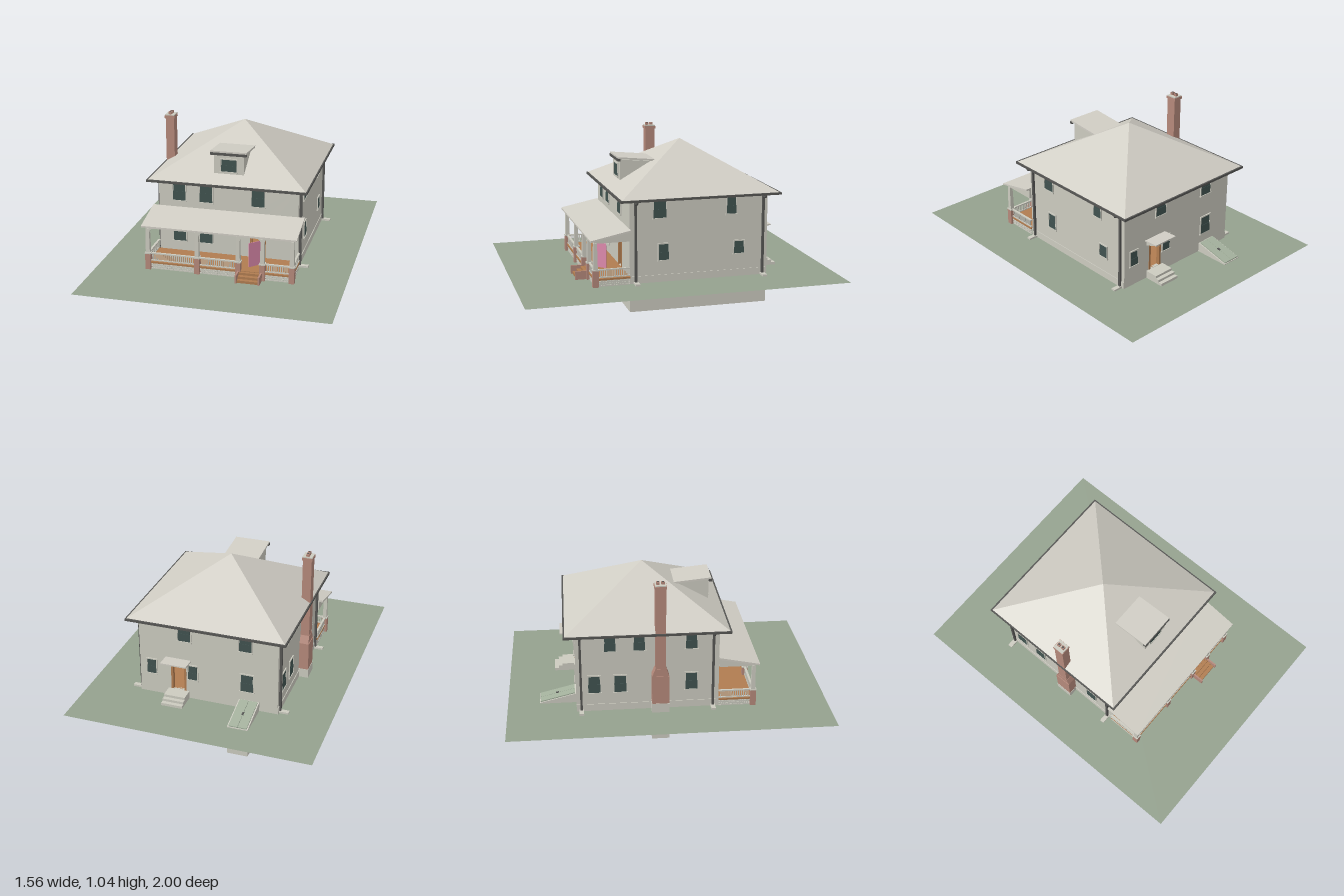
import * as THREE from 'three';

const mat = (name, color) => {
  const m = new THREE.MeshStandardMaterial({ color, side: THREE.DoubleSide });
  m.name = name;
  return m;
};

export function createModel() {
  const M = {
    wall: mat('warm grey siding', 0xcbcabf),
    roof: mat('pale roofing', 0xd0cdc4),
    grass: mat('grass', 0x94a18e),
    brick: mat('brick', 0xb5897b),
    glass: mat('dark glass', 0x40524f),
    wood: mat('deck wood', 0xb07c50),
    dark: mat('dark metal', 0x565654),
    pink: mat('pink', 0xdd8aac),
    earth: mat('cellar earth', 0x816454),
    hatch: mat('hatch green', 0xa3b09c),
  };
  const house = new THREE.Group();
  house.name = 'house';

  const add = (name, geo, m, parent = house) => {
    const mesh = new THREE.Mesh(geo, m);
    mesh.name = name;
    parent.add(mesh);
    return mesh;
  };
  // box given by its limits on each axis
  const box = (name, m, x0, x1, y0, y1, z0, z1, parent = house) => {
    const b = add(name, new THREE.BoxGeometry(x1 - x0, y1 - y0, z1 - z0), m, parent);
    b.position.set((x0 + x1) / 2, (y0 + y1) / 2, (z0 + z1) / 2);
    return b;
  };
  // side profile of [z, y] points, extruded along x
  const profile = (name, m, pts, x0, x1) => {
    const s = new THREE.Shape(pts.map(([z, y]) => new THREE.Vector2(-z, y)));
    const g = new THREE.ExtrudeGeometry(s, { depth: x1 - x0, bevelEnabled: false });
    g.rotateY(Math.PI / 2);
    g.translate(x0, 0, 0);
    return add(name, g, m);
  };

  const GY = 0.185, FL = 0.235, W = 0.447, ZF = 0.312, ZB = -0.572;

  // ground and cellar
  const ground = add('ground', new THREE.PlaneGeometry(1.56, 2), M.grass);
  ground.rotation.x = -Math.PI / 2;
  ground.position.y = GY;
  box('cellarWalls', M.wall, -0.444, 0.444, 0.004, 0.22, -0.57, 0.31);
  box('cellarFloor', M.earth, -0.43, 0.43, 0, 0.006, -0.556, 0.296);
  box('hatchWell', M.wall, -0.33, -0.2, 0, GY, -0.8, -0.57);

  // outer walls, front and back pierced by a doorway
  for (const [name, z] of [['frontWall', ZF - 0.02], ['backWall', ZB]]) {
    const s = new THREE.Shape();
    s.moveTo(-W, GY).lineTo(W, GY).lineTo(W, 0.71).lineTo(-W, 0.71).closePath();
    const h = new THREE.Path();
    h.moveTo(0.143, FL).lineTo(0.143, 0.425).lineTo(0.243, 0.425).lineTo(0.243, FL).closePath();
    s.holes.push(h);
    const g = new THREE.ExtrudeGeometry(s, { depth: 0.02, bevelEnabled: false });
    add(name, g, M.wall).position.z = z;
    // wooden door lining
    for (const x of [0.143, 0.229]) box('doorJamb', M.wood, x, x + 0.014, FL, 0.42, z - 0.002, z + 0.022);
    box('doorHead', M.wood, 0.143, 0.243, 0.418, 0.426, z - 0.002, z + 0.022);
  }
  for (const s of [-1, 1]) {
    const x = s * (W - 0.01);
    box('sideWall', M.wall, x - 0.01, x + 0.01, GY, 0.71, ZB + 0.02, ZF - 0.02);
    box('foundationBand', M.wall, s * W - 0.004, s * W + 0.004, GY, 0.23, ZB, ZF);
  }
  box('houseFloor', M.wood, -0.43, 0.43, 0.222, FL, ZB + 0.01, ZF - 0.01);

  // windows: sashes, sill and side trims, placed on a named side
  const sides = {
    front: (u) => [u, ZF, 0], back: (u) => [u, ZB, Math.PI],
    right: (u) => [W, u, Math.PI / 2], left: (u) => [-W, u, -Math.PI / 2],
  };
  const addWindow = (side, u, y0, y1, w, at = sides[side](u)) => {
    const g = new THREE.Group();
    g.name = side + 'Window';
    g.position.set(at[0], 0, at[1]);
    g.rotation.y = at[2];
    const h = w / 2, ym = (y0 + y1) / 2;
    box('upperSash', M.glass, -h + 0.003, h - 0.003, ym, y1, 0, 0.004, g);
    box('lowerSash', M.glass, -h, h, y0, ym, 0, 0.006, g);
    box('sill', M.wall, -h - 0.008, h + 0.008, y0 - 0.009, y0, 0, 0.01, g);
    box('head', M.wall, -h - 0.006, h + 0.006, y1, y1 + 0.008, 0, 0.007, g);
    for (const s of [-1, 1]) box('trim', M.wall, s * (h + 0.003) - 0.003, s * (h + 0.003) + 0.003, y0, y1, 0, 0.007, g);
    house.add(g);
  };
  for (const u of [-0.314, -0.14, 0.193]) addWindow('front', u, 0.575, 0.69, 0.082);
  for (const u of [-0.314, -0.14]) addWindow('front', u, 0.302, 0.428, 0.082);
  addWindow('right', 0.123, 0.588, 0.69, 0.08);
  addWindow('right', -0.336, 0.588, 0.69, 0.062);
  addWindow('right', 0.098, 0.323, 0.422, 0.064);
  addWindow('right', -0.388, 0.333, 0.41, 0.066);
  for (const u of [-0.36, -0.18, 0.14]) addWindow('left', u, 0.588, 0.69, 0.07);
  for (const u of [-0.46, -0.3, 0.14]) addWindow('left', u, 0.31, 0.42, 0.075);
  for (const u of [0.15, -0.24]) addWindow('back', u, 0.588, 0.69, 0.08);
  for (const u of [0.1, 0.37]) addWindow('back', u, 0.325, 0.42, 0.06);
  addWindow('back', -0.25, 0.31, 0.425, 0.08);

  // hipped roof with gutters
  const rg = new THREE.ConeGeometry(0.505 * Math.SQRT2, 0.288, 4);
  rg.rotateY(Math.PI / 4);
  M.roof.flatShading = true;
  add('hipRoof', rg, M.roof).position.set(0, 0.856, -0.131);
  for (const s of [-1, 1]) {
    box('gutter', M.dark, -0.508, 0.508, 0.701, 0.715, -0.131 + s * 0.503 - 0.007, -0.131 + s * 0.503 + 0.007);
    box('gutter', M.dark, s * 0.501 - 0.007, s * 0.501 + 0.007, 0.701, 0.715, -0.638, 0.376);
    // downspouts with elbows and splash blocks
    for (const z of [0.275, -0.542]) {
      box('downspout', M.dark, s * 0.455 - 0.007, s * 0.455 + 0.007, 0.195, 0.69, z - 0.007, z + 0.007);
      const pts = [[0.455, 0.672], [0.46, 0.682], [0.495, 0.69], [0.498, 0.705]].map(([x, y]) => new THREE.Vector3(s * x, y, z));
      add('downspoutElbow', new THREE.TubeGeometry(new THREE.CatmullRomCurve3(pts), 8, 0.007, 6), M.dark);
      box('splashBlock', M.wall, s * 0.48 - 0.03, s * 0.48 + 0.03, GY, 0.197, z - 0.014, z + 0.014);
    }
  }

  // dormer
  profile('dormerBody', M.wall, [[0.285, 0.76], [0.285, 0.893], [0.06, 0.872], [0.06, 0.76]], -0.095, 0.095);
  profile('dormerRoof', M.roof, [[0.3, 0.9], [0.3, 0.912], [0.05, 0.888], [0.05, 0.876]], -0.115, 0.115);
  box('dormerGutter', M.dark, -0.116, 0.116, 0.886, 0.902, 0.285, 0.304);
  addWindow('dormer', 0, 0.78, 0.856, 0.1, [0, 0.285, 0]);

  // chimney: stone base, wide lower part, shoulders, stack, cap and flues
  box('chimneyFooting', M.wall, -0.51, -0.444, 0, 0.245, -0.11, 0);
  box('chimneyLower', M.brick, -0.508, -0.444, 0.245, 0.43, -0.108, -0.002);
  const shoulder = new THREE.Shape();
  shoulder.moveTo(-0.108, 0.43).lineTo(-0.002, 0.43).lineTo(-0.02, 0.48).lineTo(-0.088, 0.48).closePath();
  const sg = new THREE.ExtrudeGeometry(shoulder, { depth: 0.058, bevelEnabled: false });
  sg.rotateY(-Math.PI / 2);
  add('chimneyShoulder', sg, M.brick).position.x = -0.446;
  box('chimneyStack', M.brick, -0.502, -0.446, 0.48, 1.012, -0.086, -0.022);
  box('chimneyCap', M.brick, -0.507, -0.442, 1.003, 1.02, -0.091, -0.017);
  box('chimneyTop', M.wall, -0.505, -0.444, 1.02, 1.026, -0.088, -0.02);
  for (const z of [-0.069, -0.039]) {
    box('flue', M.brick, -0.484, -0.464, 1.02, 1.042, z - 0.01, z + 0.01);
    box('flueOpening', M.dark, -0.48, -0.468, 1.04, 1.043, z - 0.006, z + 0.006);
  }

  // porch deck and roof
  box('porchDeck', M.wood, -0.46, 0.46, 0.224, FL, ZF, 0.535);
  profile('porchRoof', M.roof, [[0.31, 0.53], [0.56, 0.479], [0.56, 0.469], [0.31, 0.518]], -0.488, 0.486);
  profile('porchGable', M.wall, [[0.312, 0.52], [0.535, 0.474], [0.535, 0.456], [0.312, 0.456]], -0.462, 0.462);

  // brick piers and posts
  const piers = [-0.455, -0.14, 0.12, 0.272, 0.455], ZP = 0.527;
  for (const x of piers) {
    box('brickPier', M.brick, x - 0.017, x + 0.017, GY, 0.29, ZP - 0.018, ZP + 0.018);
    box('pierCap', M.wall, x - 0.019, x + 0.019, 0.288, 0.296, ZP - 0.02, ZP + 0.02);
    const post = add('porchPost', new THREE.CylinderGeometry(0.015, 0.019, 0.162, 4).rotateY(Math.PI / 4), M.wall);
    post.material.flatShading = true;
    post.position.set(x, 0.376, ZP);
  }
  // curved brackets beside the posts, below the beam
  const corner = new THREE.Shape();
  corner.moveTo(0, 0).lineTo(0.026, 0).quadraticCurveTo(0.003, -0.003, 0, -0.035).closePath();
  const cg = new THREE.ExtrudeGeometry(corner, { depth: 0.016, bevelEnabled: false, curveSegments: 5 });
  piers.forEach((x, i) => [-1, 1].forEach((s) => {
    if ((i === 0 && s < 0) || (i === 4 && s > 0)) return;
    const b = add('postBracket', cg, M.wall);
    b.position.set(x + s * 0.01, 0.457, ZP - 0.008);
    b.scale.x = s;
  }));

  // railing over a lattice skirt, running along local x
  const railing = (len, x, z, turn) => {
    const g = new THREE.Group();
    g.name = 'railing';
    g.position.set(x, 0, z);
    g.rotation.y = turn;
    box('topRail', M.wall, 0, len, 0.286, 0.294, -0.007, 0.007, g);
    box('bottomRail', M.wall, 0, len, 0.24, 0.246, -0.005, 0.005, g);
    const n = Math.round(len / 0.013);
    for (let i = 1; i < n; i++) {
      const u = (i * len) / n;
      box('baluster', M.wall, u - 0.0028, u + 0.0028, 0.246, 0.286, -0.003, 0.003, g);
      box('latticeSlat', M.wall, u - 0.004, u + 0.004, GY, 0.224, -0.002, 0.002, g);
    }
    for (const y of [0.186, 0.198, 0.21, 0.22]) box('latticeBar', M.wall, 0, len, y, y + 0.007, -0.003, 0.003, g);
    house.add(g);
  };
  for (const [a, b] of [[-0.455, -0.14], [-0.14, 0.12], [0.272, 0.455]]) railing(b - a - 0.034, a + 0.017, ZP, 0);
  for (const x of [-0.455, 0.455]) railing(0.197, x, ZP - 0.018, Math.PI / 2);

  // front steps between brick cheeks
  for (let i = 0; i < 3; i++) box('frontStep', M.wood, 0.128, 0.262, GY, 0.201 + i * 0.015, 0.53, 0.605 - i * 0.025);
  for (const x of [0.12, 0.262]) box('stepCheek', M.brick, x, x + 0.01, GY, 0.238, 0.54, 0.615);

  // upright panel standing on the porch
  const panel = add('porchPanel', new THREE.BoxGeometry(0.085, 0.158, 0.004), M.pink);
  panel.position.set(0.203, 0.314, 0.44);
  panel.rotation.y = Math.PI / 4;

  // back steps and canopy
  for (let i = 0; i < 3; i++) box('backStep', M.wall, 0.125, 0.262, GY, 0.202 + i * 0.016, -0.705 + i * 0.025, ZB);
  profile('backCanopy', M.roof, [[-0.572, 0.448], [-0.665, 0.453], [-0.665, 0.461], [-0.572, 0.456]], 0.11, 0.276);
  for (const x of [0.122, 0.254]) profile('canopyBracket', M.wall, [[-0.572, 0.415], [-0.655, 0.45], [-0.572, 0.45]], x, x + 0.01);

  // sloping cellar hatch with two leaves
  profile('hatchCurb', M.wall, [[-0.572, GY], [-0.572, 0.246], [-0.8, 0.19], [-0.8, GY]], -0.33, -0.2);
  for (const x of [-0.322, -0.264]) profile('hatchLeaf', M.hatch, [[-0.58, 0.244], [-0.58, 0.251], [-0.796, 0.198], [-0.796, 0.191]], x, x + 0.056);
  profile('hatchHandle', M.dark, [[-0.68, 0.224], [-0.68, 0.231], [-0.7, 0.226], [-0.7, 0.219]], -0.27, -0.258);

  return house;
}
